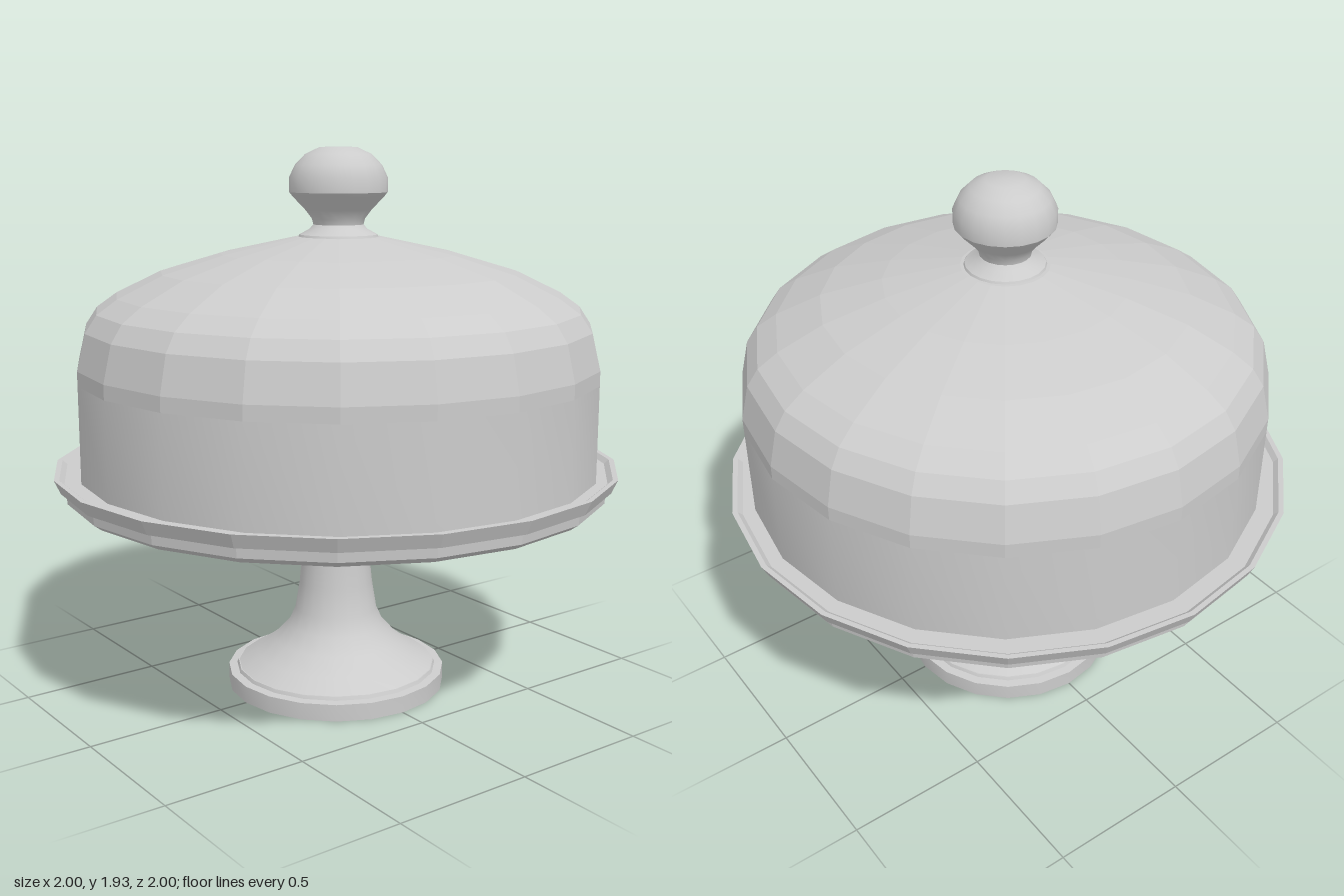
import * as THREE from 'three';
import { toCreasedNormals } from 'three/addons/utils/BufferGeometryUtils.js';

const SIDES = 20;

// Turned part from [radius, height] pairs, listed from bottom to top on the outside
function turned(name, profile, { flat = false, double = false, crease = 0.5 } = {}) {
  const points = profile.map(([r, y]) => new THREE.Vector2(r, y));
  const lathe = new THREE.LatheGeometry(points, SIDES);
  const material = new THREE.MeshStandardMaterial({
    color: 0xcccccc,
    flatShading: flat,
    side: double ? THREE.DoubleSide : THREE.FrontSide,
  });
  const mesh = new THREE.Mesh(flat ? lathe : toCreasedNormals(lathe, crease), material);
  mesh.name = name;
  return mesh;
}

export function createModel() {
  const model = new THREE.Group();
  model.name = 'cakeStand';

  // Pedestal: round foot, flared stem and collar
  const pedestal = new THREE.Group();
  pedestal.name = 'pedestal';
  pedestal.add(
    turned('foot', [[0, 0], [0.395, 0], [0.395, 0.06], [0.365, 0.063], [0.36, 0.075], [0, 0.075]]),
    turned('stem', [
      [0.36, 0.073], [0.29, 0.115], [0.225, 0.165], [0.175, 0.22], [0.148, 0.28],
      [0.132, 0.38], [0.122, 0.48], [0.115, 0.595],
    ]),
    turned('collar', [[0.112, 0.59], [0.125, 0.602], [0.125, 0.67], [0.118, 0.69]]),
  );

  // Plate: shallow underside, stepped edge and raised lip
  const plate = turned('plate', [
    [0, 0.68], [0.5, 0.682], [0.86, 0.71], [0.93, 0.725], [0.957, 0.745],
    [0.96, 0.778], [0.978, 0.782], [1, 0.83], [0.982, 0.83], [0.965, 0.815], [0, 0.815],
  ], { flat: true });

  // Lid sits slightly off centre on the plate
  const lid = new THREE.Group();
  lid.name = 'lid';
  lid.position.x = 0.015;
  lid.add(
    turned('lidWall', [[0.915, 0.815], [0.915, 1.15]], { double: true }),
    turned('lidDome', [
      [0.915, 1.15], [0.915, 1.2], [0.885, 1.325], [0.845, 1.385], [0.775, 1.435],
      [0.62, 1.51], [0.41, 1.572], [0.15, 1.628], [0, 1.635],
    ], { flat: true, double: true }),
    turned('knob', [
      [0.14, 1.625], [0.135, 1.636], [0.1, 1.655], [0.087, 1.67], [0.092, 1.69], [0.115, 1.72],
      [0.158, 1.765], [0.17, 1.78], [0.17, 1.83], [0.15, 1.872], [0.115, 1.908],
      [0.065, 1.932], [0, 1.934],
    ], { crease: 0.6 }),
  );

  model.add(pedestal, plate, lid);
  return model;
}
